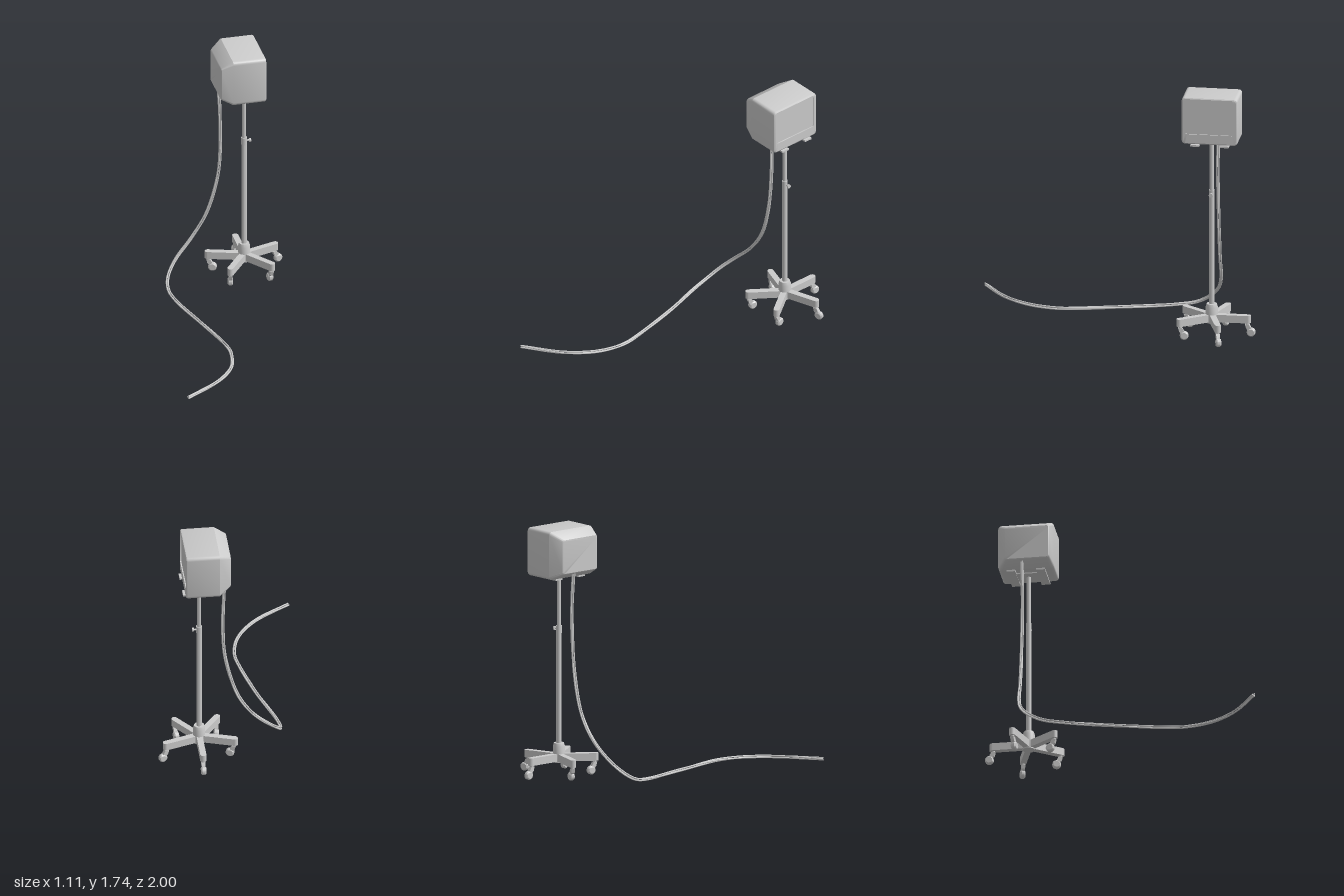
import * as THREE from 'three';
import { toCreasedNormals } from 'three/addons/utils/BufferGeometryUtils.js';

const POLE = new THREE.Vector3(0.264, 0, -0.7);

export function createModel() {
  const model = new THREE.Group();
  const grey = new THREE.MeshStandardMaterial({ color: 0xcccccc });

  function add(parent, name, geometry, x = 0, y = 0, z = 0) {
    const mesh = new THREE.Mesh(geometry, grey);
    mesh.name = name;
    mesh.position.set(x, y, z);
    parent.add(mesh);
    return mesh;
  }

  // Rounded rectangle section in the y-z plane at a given x
  function section({ x, y0, y1, z0, z1, r }) {
    const ring = [];
    const corners = [[z1 - r, y1 - r], [z0 + r, y1 - r], [z0 + r, y0 + r], [z1 - r, y0 + r]];
    corners.forEach(([cz, cy], k) => {
      for (let i = 0; i <= 5; i++) {
        const a = (k + i / 5) * Math.PI / 2;
        ring.push([x, cy + r * Math.sin(a), cz + r * Math.cos(a)]);
      }
    });
    return ring;
  }

  // Skin over a row of sections, capped at both ends
  function loft(sections) {
    const rings = sections.map(section);
    const n = rings[0].length;
    const index = [];
    for (let s = 0; s < rings.length - 1; s++) {
      for (let i = 0; i < n; i++) {
        const a = s * n + i, b = s * n + (i + 1) % n;
        index.push(a, a + n, b, b, a + n, b + n);
      }
    }
    const last = (rings.length - 1) * n;
    for (let i = 1; i < n - 1; i++) {
      index.push(0, i, i + 1, last, last + i + 1, last + i);
    }
    const geometry = new THREE.BufferGeometry();
    geometry.setAttribute('position', new THREE.Float32BufferAttribute(rings.flat(2), 3));
    geometry.setIndex(index);
    return toCreasedNormals(geometry, 0.5);
  }

  // Monitor: tapered back, straight shell, rounded bezel and sunken screen
  const shell = { y0: 1.412, y1: 1.748, z0: -0.893, z1: -0.507, r: 0.024 };
  const inset = (d, x, r) => ({
    x, r, y0: shell.y0 + d, y1: shell.y1 - d, z0: shell.z0 + d, z1: shell.z1 - d,
  });
  const screen = { y0: 1.485, y1: 1.725, z0: -0.866, z1: -0.534, r: 0.012 };
  add(model, 'monitor', loft([
    { x: 0.06, y0: 1.46, y1: 1.695, z0: -0.832, z1: -0.534, r: 0.014 },
    { x: 0.064, y0: 1.454, y1: 1.701, z0: -0.84, z1: -0.528, r: 0.018 },
    inset(0, 0.142, 0.024),
    inset(0, 0.363, 0.024),
    inset(0.003, 0.371, 0.022),
    inset(0.01, 0.375, 0.016),
    { x: 0.375, ...screen },
    { x: 0.367, ...screen },
  ]));

  // Mounting bracket under the monitor
  for (const z of [-0.6, -0.805]) {
    add(model, 'bracketRail', new THREE.BoxGeometry(0.25, 0.012, 0.06), 0.265, 1.407, z);
  }
  add(model, 'bracketPlate', new THREE.BoxGeometry(0.13, 0.008, 0.15), 0.264, 1.408, -0.7025);

  // Stand column, clamp collar and height knob
  const stand = new THREE.Group();
  stand.name = 'stand';
  stand.position.copy(POLE);
  model.add(stand);
  const column = [[0, 0.1], [0.042, 0.1], [0.042, 0.212], [0.035, 0.235], [0.0185, 0.235],
    [0.0185, 1.0], [0.02, 1.0], [0.02, 1.055], [0.0145, 1.055], [0.0145, 1.41], [0, 1.41]];
  const columnGeometry = new THREE.LatheGeometry(column.map(p => new THREE.Vector2(...p)), 24);
  add(stand, 'column', toCreasedNormals(columnGeometry, 0.5));
  const knobStem = add(stand, 'knobStem', new THREE.CylinderGeometry(0.006, 0.006, 0.03, 12), 0.028, 1.028, 0);
  const knob = add(stand, 'knob', new THREE.CylinderGeometry(0.014, 0.014, 0.012, 16), 0.042, 1.028, 0);
  knobStem.rotation.z = knob.rotation.z = Math.PI / 2;

  // Caster: swivel stem, fork and wheel trailing towards local +x
  const forkShape = new THREE.Shape();
  forkShape.moveTo(-0.014, 0.098);
  forkShape.lineTo(0.014, 0.098);
  forkShape.lineTo(0.026, 0.075);
  forkShape.lineTo(0.036, 0.045);
  forkShape.lineTo(0.022, 0.036);
  forkShape.lineTo(-0.006, 0.07);
  forkShape.closePath();
  const forkGeometry = new THREE.ExtrudeGeometry(forkShape, { depth: 0.026, bevelEnabled: false });
  function caster(heading) {
    const group = new THREE.Group();
    group.name = 'caster';
    group.rotation.y = heading;
    add(group, 'swivel', new THREE.CylinderGeometry(0.012, 0.012, 0.03, 12), 0, 0.105, 0);
    add(group, 'fork', forkGeometry, 0, 0, -0.013);
    const wheelProfile = [[0, -0.018], [0.022, -0.018], [0.03, -0.01], [0.03, 0.01], [0.022, 0.018], [0, 0.018]];
    const wheelGeometry = new THREE.LatheGeometry(wheelProfile.map(p => new THREE.Vector2(...p)), 20);
    add(group, 'wheel', toCreasedNormals(wheelGeometry, 0.5), 0.028, 0.041, 0).rotation.x = Math.PI / 2;
    return group;
  }

  // Five legs; each entry is the caster heading relative to the world
  const legGeometry = new THREE.BoxGeometry(0.25, 0.053, 0.042);
  const headings = [18, 90, -18, 80, 100];
  headings.forEach((heading, i) => {
    const angle = THREE.MathUtils.degToRad(18 + 72 * i);
    const leg = new THREE.Group();
    leg.name = 'leg';
    leg.rotation.y = angle;
    stand.add(leg);
    add(leg, 'legBeam', legGeometry, 0.125, 0.134, 0);
    add(leg, 'legEnd', new THREE.CylinderGeometry(0.021, 0.021, 0.053, 16), 0.25, 0.134, 0);
    const wheel = caster(THREE.MathUtils.degToRad(heading) - angle);
    wheel.position.x = 0.245;
    leg.add(wheel);
  });

  // Three cables slowly twisting around one path from monitor to floor
  const path = new THREE.CatmullRomCurve3([
    [0.086, 1.47, -0.72], [0.1, 1.25, -0.72], [0.101, 1.0, -0.72], [0.078, 0.75, -0.72],
    [0, 0.478, -0.72], [-0.11, 0.307, -0.71], [-0.23, 0.18, -0.672], [-0.3, 0.095, -0.6],
    [-0.32, 0.045, -0.51], [-0.3, 0.027, -0.37], [-0.2, 0.021, -0.02], [-0.126, 0.022, 0.29],
    [-0.11, 0.022, 0.43], [-0.155, 0.022, 0.625], [-0.29, 0.022, 0.81], [-0.55, 0.022, 0.988],
  ].map(p => new THREE.Vector3(...p)));
  const steps = 60;
  const frames = path.computeFrenetFrames(steps);
  for (let c = 0; c < 3; c++) {
    const points = [];
    for (let i = 0; i <= steps; i++) {
      const a = c * Math.PI * 2 / 3 + i / steps * Math.PI * 3;
      points.push(path.getPointAt(i / steps)
        .addScaledVector(frames.normals[i], 0.008 * Math.cos(a))
        .addScaledVector(frames.binormals[i], 0.008 * Math.sin(a)));
    }
    const curve = new THREE.CatmullRomCurve3(points);
    add(model, 'cable', new THREE.TubeGeometry(curve, 90, 0.0055, 8));
    // Closed cable ends
    for (const t of [0, 1]) {
      const end = add(model, 'cableEnd', new THREE.CircleGeometry(0.0055, 8));
      end.position.copy(curve.getPointAt(t));
      end.lookAt(end.position.clone().addScaledVector(curve.getTangentAt(t), t ? 1 : -1));
    }
  }

  return model;
}
